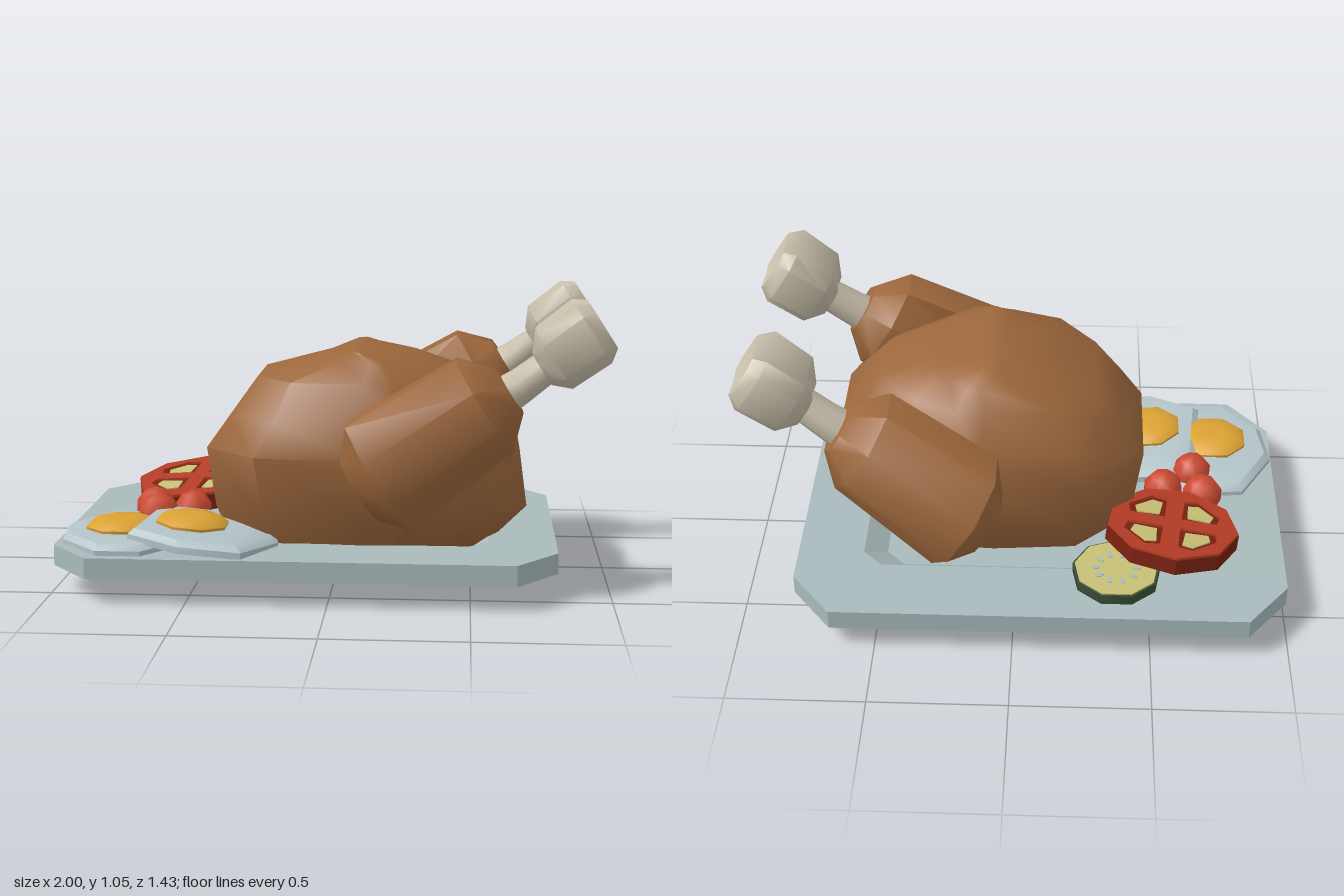
import * as THREE from 'three';
import { toCreasedNormals } from 'three/addons/utils/BufferGeometryUtils.js';

const mat = (name, color, side = THREE.FrontSide) => {
  const m = new THREE.MeshStandardMaterial({ color, side });
  m.name = name;
  return m;
};

// Closed skin over rings of equal point count, capped at both ends.
function loft(rings, crease) {
  const n = rings[0].length, pos = [], idx = [];
  rings.forEach(r => r.forEach(p => pos.push(...p)));
  for (let k = 0; k < rings.length - 1; k++)
    for (let i = 0; i < n; i++) {
      const a = k * n + i, b = k * n + (i + 1) % n;
      idx.push(a, b, a + n, b, b + n, a + n);
    }
  [[0, true], [rings.length - 1, false]].forEach(([k, flip]) => {
    const c = pos.length / 3;
    pos.push(...[0, 1, 2].map(d => rings[k].reduce((s, p) => s + p[d], 0) / n));
    for (let i = 0; i < n; i++) {
      const a = k * n + i, b = k * n + (i + 1) % n;
      if (flip) idx.push(b, a, c); else idx.push(a, b, c);
    }
  });
  // Turn every face outward
  const v = i => new THREE.Vector3().fromArray(pos, i * 3);
  let volume = 0;
  for (let i = 0; i < idx.length; i += 3)
    volume += v(idx[i]).dot(v(idx[i + 1]).cross(v(idx[i + 2])));
  if (volume < 0) idx.reverse();
  const g = new THREE.BufferGeometry();
  g.setAttribute('position', new THREE.Float32BufferAttribute(pos, 3));
  g.setIndex(idx);
  return toCreasedNormals(g, crease);
}

export function createModel() {
  const root = new THREE.Group();
  const M = {
    plate: mat('plate grey', 0xa9babc),
    meat: mat('roast brown', 0x9c673c),
    bone: mat('bone', 0xc6bda9),
    white: mat('egg white', 0xb4c4c9),
    yolk: mat('yolk', 0xdba233),
    red: mat('tomato flesh', 0xb53d26),
    darkRed: mat('tomato skin', 0x78200f),
    cherry: mat('cherry tomato red', 0xcb4a31),
    pale: mat('pale seed flesh', 0xc6c075),
    green: mat('cucumber skin', 0x3a4c35),
  };
  const add = (name, geo, m, parent = root) => {
    const mesh = new THREE.Mesh(geo, m);
    mesh.name = name;
    parent.add(mesh);
    return mesh;
  };
  const group = (name, x, y, z) => {
    const g = new THREE.Group();
    g.name = name;
    g.position.set(x, y, z);
    root.add(g);
    return g;
  };

  // Plate: chamfered rectangles from the sunken floor, over the rim, to the foot
  const plateRing = ([hx, hz, cx, cz, y]) => [
    [hx, hz - cz], [hx - cx, hz], [cx - hx, hz], [-hx, hz - cz],
    [-hx, cz - hz], [cx - hx, -hz], [hx - cx, -hz], [hx, cz - hz],
  ].map(([x, z]) => [x - 0.095, y, z - 0.04]);
  add('plate', loft([
    [0.58, 0.34, 0.07, 0.07, 0.11], [0.66, 0.41, 0.07, 0.07, 0.165],
    [0.905, 0.68, 0.15, 0.19, 0.165], [0.905, 0.68, 0.15, 0.19, 0.09],
    [0.65, 0.41, 0.07, 0.07, 0.055], [0.565, 0.33, 0.06, 0.06, 0],
  ].map(plateRing), 0.3), M.plate);

  // Roast body: egg-shaped horizontal rings
  const half = [[-1, 0.45], [-0.66, 0.92], [0, 1], [0.25, 0.98], [0.65, 0.74], [0.93, 0.48], [1, 0.27]];
  const outline = [...half, ...half.map(([u, v]) => [u, -v]).reverse()];
  add('roastBody', loft([
    // y, min x, max x, half width
    [0.11, -0.38, 0.55, 0.31], [0.27, -0.44, 0.705, 0.42], [0.49, -0.47, 0.675, 0.445],
    [0.61, -0.385, 0.65, 0.42], [0.75, -0.285, 0.51, 0.35], [0.82, -0.03, 0.3, 0.29],
    [0.85, 0.05, 0.13, 0.24],
  ].map(([y, a, b, w]) => outline.map(([u, v]) =>
    [(a + b) / 2 + u * (b - a) / 2, y, 0.035 + v * w])), 0.9), M.meat);

  // Legs: sections across a sloping axis; s runs along it, p is perpendicular
  const octagon = Array.from({ length: 8 }, (_, i) => {
    const a = (i + 0.5) * Math.PI / 4;
    return [Math.cos(a) * 1.08, Math.sin(a) * 1.08];
  });
  const knuckle = [[1, 0.6], [0.68, 1], [0, 0.8], [-0.68, 1], [-1, 0.6],
    [-1, -0.6], [-0.68, -1], [0, -0.8], [0.68, -1], [1, -0.6]];
  for (const side of [1, -1]) {
    const leg = group(side > 0 ? 'frontLeg' : 'backLeg', 0, 0, 0.018);
    const sections = (shape, rows) => rows.map(([s, p, z, hp, hz]) => shape.map(([a, b]) => {
      const q = p + b * hp;
      return [s * 0.839 - q * 0.545, s * 0.545 + q * 0.839, side * (z + a * hz)];
    }));
    add('drumstickMeat', loft(sections(octagon, [
      [0.31, 0.28, 0.51, 0.12, 0.11], [0.395, 0.28, 0.495, 0.215, 0.2],
      [0.83, 0.285, 0.415, 0.185, 0.185], [0.93, 0.28, 0.405, 0.09, 0.1],
    ]), 0.8), M.meat, leg);
    add('boneShaft', loft(sections(octagon, [
      [0.85, 0.27, 0.395, 0.07, 0.075], [0.97, 0.27, 0.385, 0.06, 0.07],
      [1.12, 0.28, 0.37, 0.055, 0.06],
    ]), 0.9), M.bone, leg);
    add('boneKnuckle', loft(sections(knuckle, [
      [1.065, 0.28, 0.37, 0.06, 0.085], [1.12, 0.29, 0.367, 0.115, 0.135],
      [1.28, 0.3, 0.365, 0.12, 0.147], [1.325, 0.3, 0.365, 0.09, 0.115],
      [1.305, 0.3, 0.365, 0.02, 0.03],
    ]), 0.8), M.bone, leg);
  }

  // Fried eggs: an uneven flat white with a domed yolk
  const egg = (name, x, y, z, tilt, pts) => {
    const g = group(name, x, y, z);
    g.rotation.z = tilt;
    add('eggWhite', loft([[1, -0.02], [1, 0.004], [0.9, 0.024], [0.6, 0.03]].map(([k, h]) =>
      pts.map(([px, pz]) => [(px - x) * k, h, (pz - z) * k])), 0.6), M.white, g);
    add('yolk', loft([[0.13, 0.01], [0.135, 0.04], [0.105, 0.062], [0.05, 0.07]].map(([r, h]) =>
      octagon.map(([a, b]) => [a * r * 0.93, h, b * r * 0.93])), 0.9), M.yolk, g);
  };
  egg('leftEgg', -0.77, 0.178, 0.33, 0, [[-0.87, 0.02], [-0.62, 0], [-0.52, 0.15], [-0.55, 0.45],
    [-0.66, 0.6], [-0.82, 0.6], [-0.97, 0.43], [-0.995, 0.24]]);
  egg('rightEgg', -0.51, 0.202, 0.365, -0.09, [[-0.62, 0.07], [-0.36, 0.07], [-0.22, 0.22], [-0.19, 0.41],
    [-0.3, 0.62], [-0.53, 0.625], [-0.72, 0.51], [-0.69, 0.17]]);

  // Shapes drawn in x/y are laid flat, facing up
  const flat = (shape, depth) =>
    new THREE.ExtrudeGeometry(shape, { depth, bevelEnabled: false, curveSegments: 8 }).rotateX(-Math.PI / 2);
  const polygon = (r, n, turn) => Array.from({ length: n }, (_, i) => {
    const a = turn + i / n * Math.PI * 2;
    return new THREE.Vector2(Math.cos(a) * r, Math.sin(a) * r);
  });
  const wedge = (a, r0, r1, spread) => [[r0, 0], [r1 * 0.85, -spread], [r1, -spread * 0.55],
    [r1, spread * 0.55], [r1 * 0.85, spread]].map(([r, d]) =>
    new THREE.Vector2(Math.cos(a + d) * r, Math.sin(a + d) * r));

  // Tomato slice leaning on the cucumber
  const tomato = group('tomatoSlice', -0.58, 0.238, -0.305);
  tomato.rotation.set(0.12, 0, 0.09);
  add('tomatoSkin', flat(new THREE.Shape(polygon(0.25, 9, 0.2)), 0.06).translate(0, -0.03, 0), M.darkRed, tomato);
  const face = new THREE.Shape(polygon(0.247, 9, 0.2));
  for (let i = 0; i < 4; i++) {
    const a = 0.66 + i * Math.PI / 2;
    face.holes.push(new THREE.Path(wedge(a, 0.045, 0.195, 0.58)));
    add('seedPocket', flat(new THREE.Shape(wedge(a, 0.075, 0.172, 0.45)), 0.005).translate(0, 0.03, 0), M.pale, tomato);
  }
  add('tomatoFace', flat(face, 0.009).translate(0, 0.03, 0), M.red, tomato);

  // Cucumber slice with a ring of seeds
  const cucumber = group('cucumberSlice', -0.375, 0.163, -0.487);
  add('cucumberSkin', new THREE.CylinderGeometry(0.163, 0.163, 0.04, 9).translate(0, 0.02, 0), M.green, cucumber);
  add('cucumberFace', new THREE.CylinderGeometry(0.155, 0.155, 0.004, 9).translate(0, 0.042, 0), M.pale, cucumber);
  for (let i = 0; i < 10; i++) {
    const a = i / 10 * Math.PI * 2;
    const seed = add('cucumberSeed', new THREE.CylinderGeometry(0.018, 0.018, 0.004, 6), M.plate, cucumber);
    seed.scale.z = 0.5;
    seed.rotation.y = -a;
    seed.position.set(Math.cos(a) * 0.075, 0.045, Math.sin(a) * 0.075);
  }

  // Cherry tomatoes
  [[-0.71, 0.205, -0.03], [-0.56, 0.2, 0.005], [-0.675, 0.208, 0.105]].forEach(([x, y, z], i) => {
    const c = add('cherryTomato', new THREE.SphereGeometry(0.078, 8, 5), M.cherry);
    c.position.set(x, y, z);
    c.rotation.y = i * 0.5;
  });

  return root;
}
